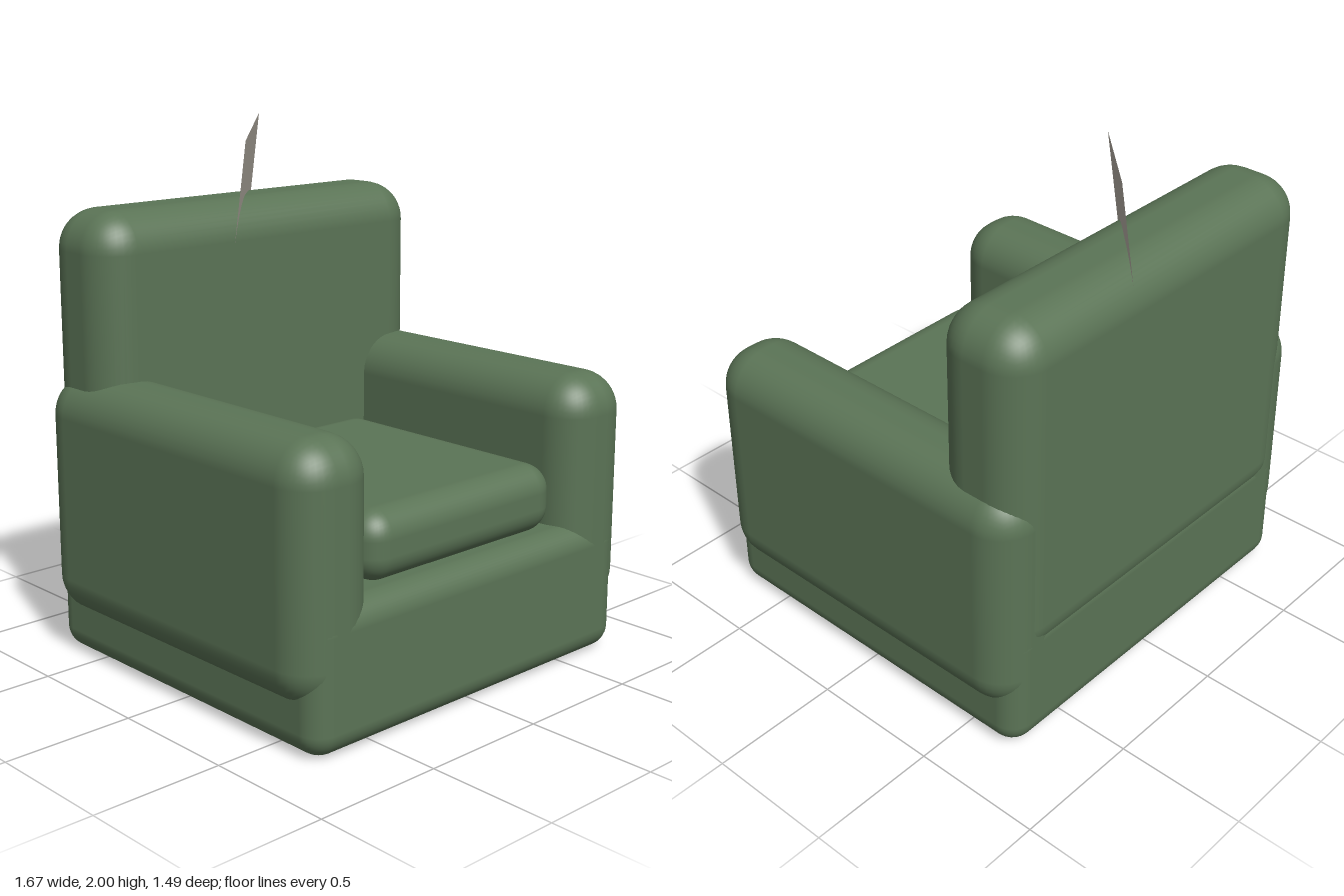
import * as THREE from 'three';
import { RoundedBoxGeometry } from 'three/addons/geometries/RoundedBoxGeometry.js';

export function createModel() {
  const model = new THREE.Group();
  model.name = 'armchair';

  const fabric = new THREE.MeshStandardMaterial({ color: 0x5b7456 });
  fabric.name = 'green fabric';
  const paper = new THREE.MeshStandardMaterial({ color: 0xb5aea4, side: THREE.DoubleSide });
  paper.name = 'grey cloth';

  // Padded block given by its extents on each axis
  function pad(name, [x0, x1], [y0, y1], [z0, z1], radius) {
    const geometry = new RoundedBoxGeometry(x1 - x0, y1 - y0, z1 - z0, 5, radius);
    const mesh = new THREE.Mesh(geometry, fabric);
    mesh.position.set((x0 + x1) / 2, (y0 + y1) / 2, (z0 + z1) / 2);
    mesh.name = name;
    model.add(mesh);
  }

  pad('base', [-0.785, 0.785], [0, 0.525], [-0.735, 0.745], 0.09);
  pad('seatCushion', [-0.48, 0.48], [0.52, 0.78], [-0.39, 0.685], 0.1);
  pad('backrest', [-0.785, 0.785], [0.36, 1.705], [-0.743, -0.36], 0.15);
  pad('leftArm', [0.49, 0.835], [0.165, 1.09], [-0.735, 0.745], 0.15);
  pad('rightArm', [-0.835, -0.49], [0.165, 1.09], [-0.735, 0.745], 0.15);

  // Thin tilted square draped diagonally through the top of the backrest
  const across = new THREE.Vector3(0.375, 0.062, -0.362);
  const down = new THREE.Vector3(0, -0.515, -0.092);
  const topRight = new THREE.Vector3(-0.188, 1.938, -0.288);
  const corners = [
    topRight,
    topRight.clone().add(across),
    topRight.clone().add(down),
    topRight.clone().add(across).add(down),
  ];
  const sheet = new THREE.BufferGeometry().setFromPoints(corners);
  sheet.setIndex([0, 2, 1, 2, 3, 1]);
  sheet.computeVertexNormals();
  const cloth = new THREE.Mesh(sheet, paper);
  cloth.name = 'headrestCloth';
  model.add(cloth);

  return model;
}
